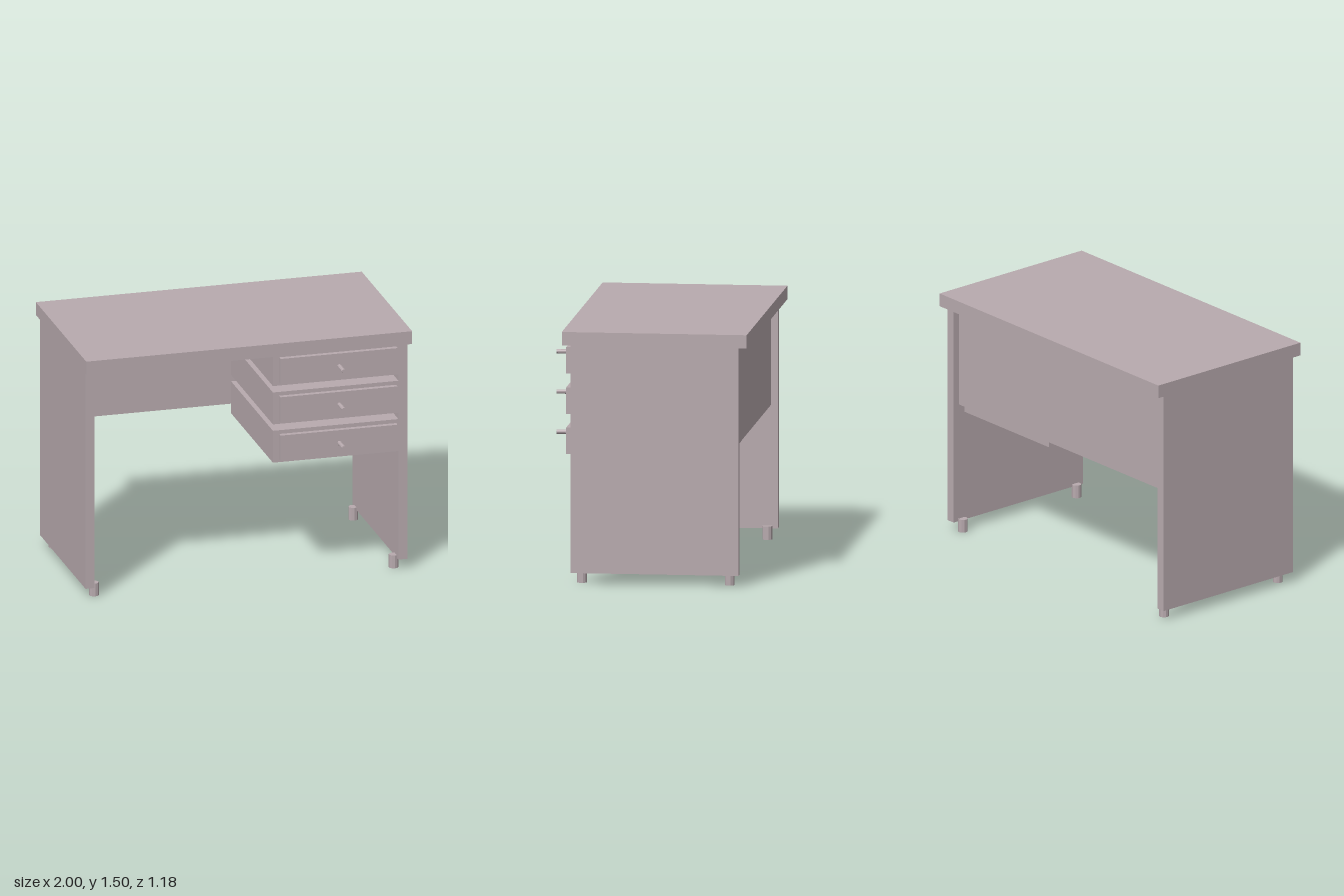
import * as THREE from 'three';

export function createModel() {
  const desk = new THREE.Group();
  desk.name = 'desk';
  const paint = new THREE.MeshStandardMaterial({ color: 0xb8aaae, flatShading: true });
  paint.name = 'mauve grey';

  const add = (name, geometry, x, y, z) => {
    const mesh = new THREE.Mesh(geometry, paint);
    mesh.name = name;
    mesh.position.set(x, y, z);
    desk.add(mesh);
    return mesh;
  };
  // Box given by its extents on each axis
  const box = (name, [x0, x1], [y0, y1], [z0, z1]) =>
    add(name, new THREE.BoxGeometry(x1 - x0, y1 - y0, z1 - z0),
      (x0 + x1) / 2, (y0 + y1) / 2, (z0 + z1) / 2);

  box('desktop', [-1, 1], [1.425, 1.505], [-0.59, 0.51]);

  // Side panels, each on two round feet
  const sides = [
    { name: 'right', x: [-0.99, -0.935], foot: -0.922 },
    { name: 'left', x: [0.93, 0.985], foot: 0.917 },
  ];
  const footGeometry = new THREE.CylinderGeometry(0.029, 0.029, 0.08, 10);
  for (const side of sides) {
    box(side.name + 'SidePanel', side.x, [0.064, 1.425], [-0.54, 0.46]);
    add(side.name + 'FrontFoot', footGeometry, side.foot, 0.04, 0.4);
    add(side.name + 'BackFoot', footGeometry, side.foot, 0.04, -0.48);
  }

  // Back panel, set in from the rear edges and clear of the desktop
  box('backPanel', [-0.935, 0.93], [0.802, 1.402], [-0.5, -0.46]);

  // Three drawers with raised fronts and peg handles
  const handleGeometry = new THREE.CylinderGeometry(0.013, 0.013, 0.145, 10).rotateX(Math.PI / 2);
  for (let i = 0; i < 3; i++) {
    const y = 0.744 + i * 0.24;
    box('drawerBody', [0.16, 0.93], [y, y + 0.2], [-0.455, 0.459]);
    box('drawerFront', [0.197, 0.915], [y + 0.02, y + 0.178], [0.463, 0.494]);
    add('drawerHandle', handleGeometry, 0.558, y + 0.099, 0.521);
  }
  return desk;
}
